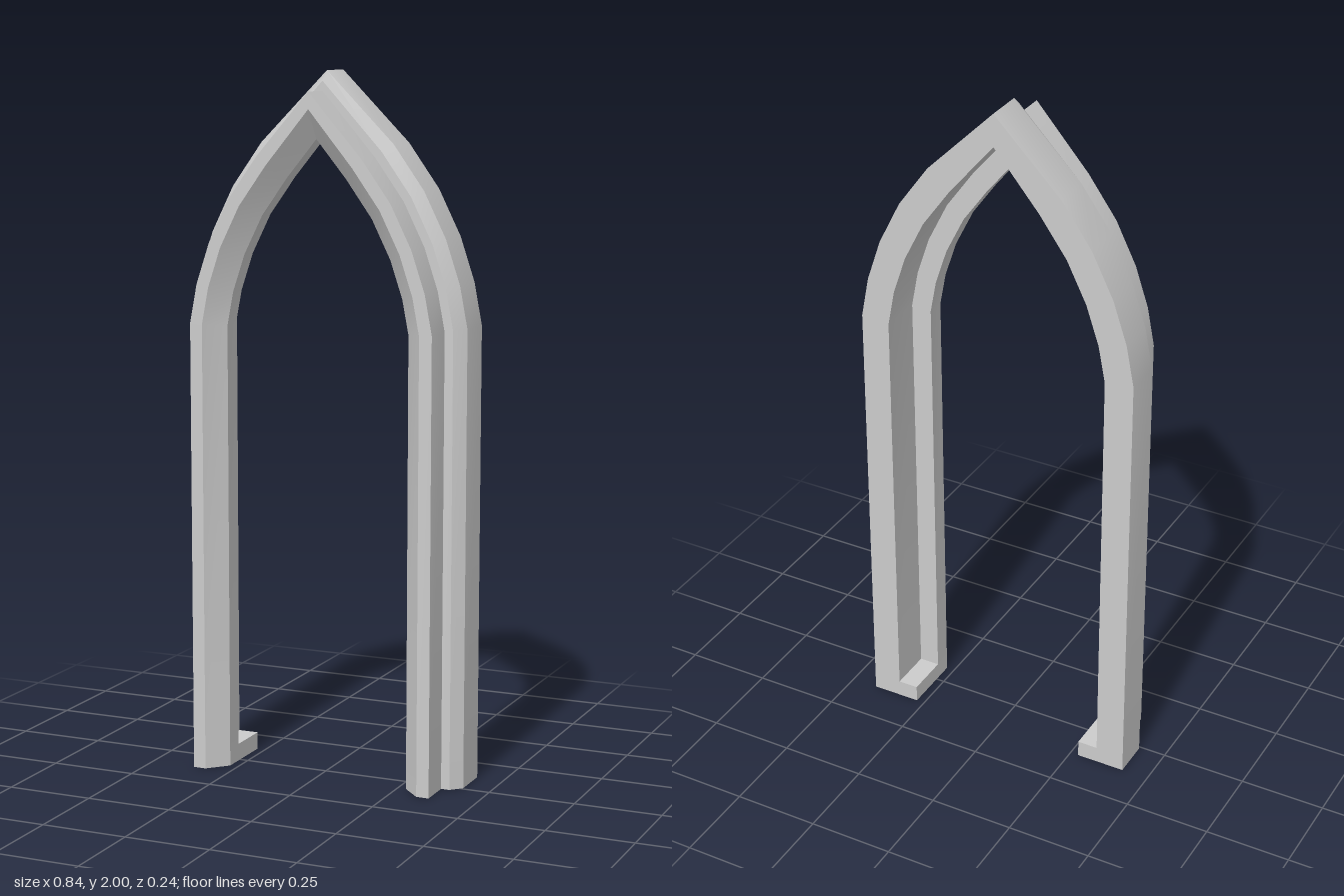
import * as THREE from 'three';
import { toCreasedNormals } from 'three/addons/utils/BufferGeometryUtils.js';

const material = new THREE.MeshStandardMaterial({ color: 0xcccccc });

// Moulding section: [inset from the outer edge, z]
const profile = [
  [0, -0.12], [0, -0.007], [0.03, 0.024], [0.055, 0.024], [0.055, 0.12],
  [0.092, 0.12], [0.145, 0.065], [0.145, 0.01], [0.085, 0.01], [0.085, -0.12],
];

// Outer edge of one side, from the ground to the apex
const side = [[0.42, 0], [0.42, 1.3], [0.397, 1.42], [0.355, 1.545], [0.29, 1.675], [0.2, 1.8], [0, 2]]
  .map(([x, y]) => new THREE.Vector2(x, y));

// Outward normal of the segment starting at point i
function segmentNormal(i) {
  const d = side[i + 1].clone().sub(side[i]).normalize();
  return new THREE.Vector2(d.y, -d.x);
}

// Point i of the side, moved inwards by an inset
function insetPoint(i, inset) {
  const p = side[i];
  if (i === side.length - 1) return new THREE.Vector2(0, p.y - inset * (0.85 + 3 * inset));
  const next = segmentNormal(i);
  const prev = i > 0 ? segmentNormal(i - 1) : next;
  const n = prev.clone().add(next).normalize();
  return p.clone().addScaledVector(n, -inset / n.dot(next));
}

// Sweep the section up one side, over the apex and down the other
function archGeometry() {
  const last = side.length - 1, rings = last * 2 + 1, m = profile.length;
  const positions = [], index = [];
  for (let r = 0; r < rings; r++) {
    const i = r <= last ? r : 2 * last - r;
    const sign = r <= last ? 1 : -1;
    for (const [inset, z] of profile) {
      const p = insetPoint(i, inset);
      positions.push(sign * p.x, p.y, z);
    }
  }
  for (let r = 0; r < rings - 1; r++) {
    for (let j = 0; j < m; j++) {
      const k = (j + 1) % m;
      const a = r * m + j, b = a + m, c = r * m + k, d = c + m;
      index.push(a, b, c, b, d, c);
    }
  }
  const g = new THREE.BufferGeometry();
  g.setAttribute('position', new THREE.Float32BufferAttribute(positions, 3));
  g.setIndex(index);
  return toCreasedNormals(g, 0.6);
}

export function createModel() {
  const group = new THREE.Group();
  const add = (name, geometry) => {
    const mesh = new THREE.Mesh(geometry, material);
    mesh.name = name;
    group.add(mesh);
    return mesh;
  };

  add('archMoulding', archGeometry());

  for (const s of [1, -1]) {
    const label = s > 0 ? 'left' : 'right';

    // Underside of the leg
    const section = new THREE.Shape(profile.map(([d, z]) => new THREE.Vector2(s * (0.42 - d), z)));
    add(label + 'LegUnderside', new THREE.ShapeGeometry(section).rotateX(Math.PI / 2));

    // Small foot closing the rebate at the back
    add(label + 'Foot', new THREE.BoxGeometry(0.06, 0.05, 0.13)).position.set(s * 0.305, 0.025, -0.055);
  }
  return group;
}
